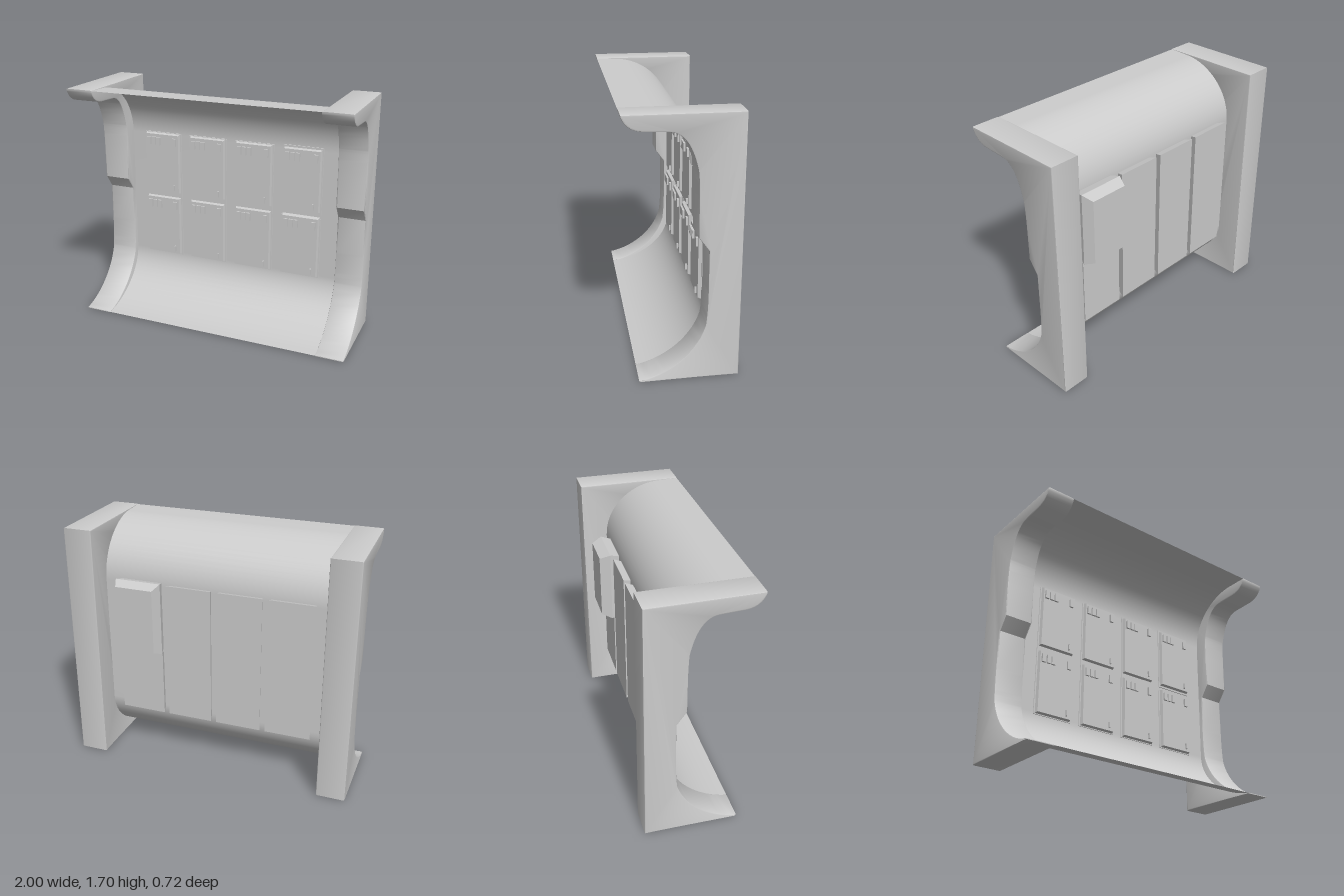
import * as THREE from 'three';
import { toCreasedNormals } from 'three/addons/utils/BufferGeometryUtils.js';

const grey = new THREE.MeshStandardMaterial({ color: 0xcccccc });
const greySheet = new THREE.MeshStandardMaterial({ color: 0xcccccc, side: THREE.DoubleSide });

function add(parent, name, geometry, x = 0, y = 0, z = 0, material = grey) {
  const mesh = new THREE.Mesh(geometry, material);
  mesh.name = name;
  mesh.position.set(x, y, z);
  parent.add(mesh);
  return mesh;
}

// Box from z0 to z1 whose outline is widened by `back` at z0 and `front` at z1
function taperedBox(w, h, z0, z1, back, front) {
  const g = new THREE.BoxGeometry(w, h, z1 - z0);
  const p = g.attributes.position;
  for (let i = 0; i < p.count; i++) {
    const isFront = p.getZ(i) > 0;
    const grow = isFront ? front : back;
    p.setXYZ(i, p.getX(i) + Math.sign(p.getX(i)) * grow,
      p.getY(i) + Math.sign(p.getY(i)) * grow, isFront ? z1 : z0);
  }
  g.computeVertexNormals();
  return g;
}

// Side pillar: overhanging lip, stepped waist and sweeping foot
function pillarGeometry() {
  const s = new THREE.Shape();
  s.moveTo(-0.36, 0);
  s.lineTo(0.27, 0);
  s.lineTo(0.27, 0.005);
  s.bezierCurveTo(0.08, 0.04, -0.09, 0.18, -0.142, 0.36);
  s.quadraticCurveTo(-0.155, 0.45, -0.155, 0.6);
  s.lineTo(-0.155, 0.86);
  s.lineTo(-0.09, 0.95);
  s.lineTo(-0.09, 1.18);
  s.quadraticCurveTo(-0.088, 1.34, -0.08, 1.37);
  s.bezierCurveTo(-0.05, 1.5, 0, 1.6, 0.1, 1.595);
  s.lineTo(0.24, 1.602);
  s.quadraticCurveTo(0.33, 1.61, 0.36, 1.69);
  s.lineTo(0.36, 1.7);
  s.lineTo(-0.36, 1.7);
  const b = 0.008;
  const g = new THREE.ExtrudeGeometry(s, {
    depth: 0.2 - 2 * b, bevelThickness: b, bevelSize: b, bevelOffset: -b,
    bevelSegments: 2, curveSegments: 14,
  });
  g.translate(0, 0, b - 0.1);
  g.rotateY(-Math.PI / 2);
  return toCreasedNormals(g, 0.6);
}

// Curved sheet between the pillars
function wallGeometry() {
  const path = new THREE.Path();
  path.moveTo(0.27, 0.003);
  path.bezierCurveTo(0.02, 0.03, -0.185, 0.2, -0.185, 0.38);
  path.lineTo(-0.185, 1.3);
  path.bezierCurveTo(-0.185, 1.52, 0, 1.68, 0.2, 1.692);
  path.lineTo(0.36, 1.697);
  const pts = path.getPoints(16);
  const g = new THREE.PlaneGeometry(1.62, 1, 1, pts.length - 1);
  const p = g.attributes.position;
  for (let i = 0; i < p.count; i++) {
    const q = pts[pts.length - 1 - Math.floor(i / 2)];
    p.setXYZ(i, p.getX(i), q.y, q.x);
  }
  g.computeVertexNormals();
  return g;
}

export function createModel() {
  const model = new THREE.Group();
  model.name = 'wallUnit';

  const pillar = pillarGeometry();
  add(model, 'leftPillar', pillar, 0.9);
  add(model, 'rightPillar', pillar, -0.9);
  add(model, 'curvedWall', wallGeometry(), 0, 0, 0, greySheet);

  // Front doors with small windows and a latch
  const door = taperedBox(0.285, 0.465, -0.2, -0.158, 0, -0.014);
  const windowPane = new THREE.BoxGeometry(0.03, 0.058, 0.02);
  const latch = new THREE.BoxGeometry(0.01, 0.042, 0.02);
  // Rear housings behind each column
  const longHousing = taperedBox(0.29, 0.95, -0.237, -0.18, 0.016, 0);
  const shortHousing = taperedBox(0.29, 0.45, -0.237, -0.18, 0.016, 0);

  for (let col = 0; col < 4; col++) {
    const x = -0.548 + col * 0.359;
    for (const y of [0.597, 1.085]) {
      const locker = new THREE.Group();
      locker.name = 'locker';
      locker.position.set(x, y, 0);
      model.add(locker);
      add(locker, 'door', door);
      for (const dx of [-0.105, -0.066, -0.029, 0.099]) {
        add(locker, 'window', windowPane, dx, 0.168, -0.154);
      }
      add(locker, 'latch', latch, 0.092, -0.18, -0.154);
    }
    if (col < 3) {
      add(model, 'rearHousing', longHousing, x, 0.84);
    } else {
      add(model, 'lowerRearHousing', shortHousing, x, 0.59);
      // Deep box: flares out, then narrows to its back face
      add(model, 'deepBoxBase', taperedBox(0.29, 0.48, -0.25, -0.18, 0.018, 0), x, 1.085);
      add(model, 'deepBoxBack', taperedBox(0.29, 0.48, -0.322, -0.25, -0.012, 0.018), x, 1.085);
    }
  }
  return model;
}
